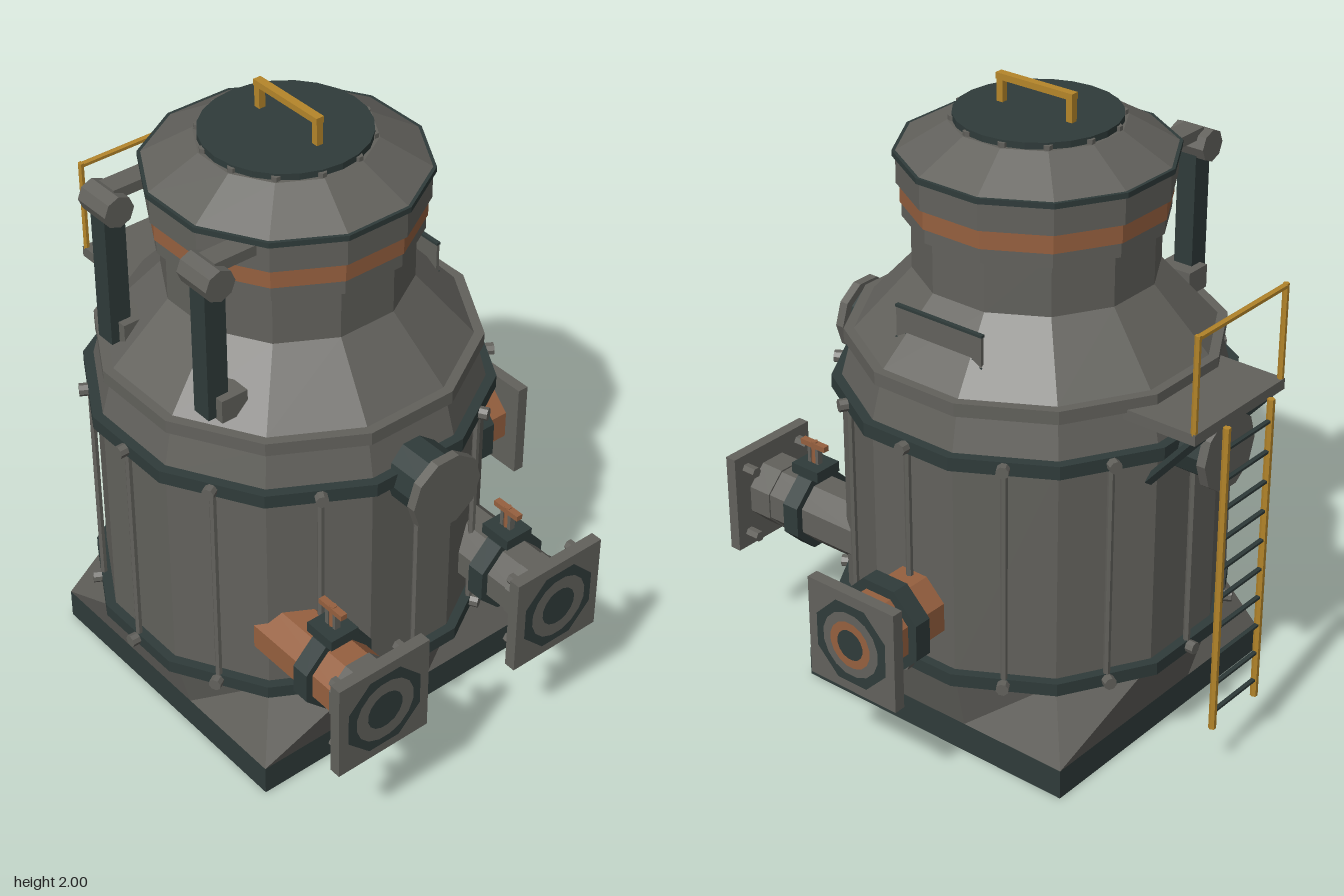
import * as THREE from 'three';

const mat = (name, color) => {
  const m = new THREE.MeshStandardMaterial({ color, flatShading: true });
  m.name = name;
  return m;
};

export function createModel() {
  const steel = mat('grey steel', 0x62615c);
  const dark = mat('dark iron', 0x2f3b3a);
  const copper = mat('copper', 0x96603f);
  const brass = mat('yellow brass', 0xb5862a);

  const model = new THREE.Group();
  model.name = 'pressureVessel';
  // The vessel axis is off centre; the vessel group is built around its own axis.
  const vessel = new THREE.Group();
  vessel.name = 'vessel';
  vessel.position.set(-0.03, 0, 0.11);
  model.add(vessel);

  const add = (parent, name, geo, m, x = 0, y = 0, z = 0) => {
    const mesh = new THREE.Mesh(geo, m);
    mesh.name = name;
    mesh.position.set(x, y, z);
    parent.add(mesh);
    return mesh;
  };
  const box = (parent, name, m, w, h, d, x, y, z) =>
    add(parent, name, new THREE.BoxGeometry(w, h, d), m, x, y, z);
  // Rod between two points
  const rod = (parent, name, m, a, b, r, sides = 6) => {
    const p = new THREE.Vector3(...a), q = new THREE.Vector3(...b);
    const mesh = add(parent, name, new THREE.CylinderGeometry(r, r, p.distanceTo(q), sides), m);
    mesh.position.copy(p).add(q).multiplyScalar(0.5);
    mesh.quaternion.setFromUnitVectors(new THREE.Vector3(0, 1, 0), q.sub(p).normalize());
    return mesh;
  };
  // Twelve-sided section with flats facing the axes; radii are to the flats
  const C = Math.cos(Math.PI / 12);
  const section = (name, m, y0, y1, r0, r1 = r0) =>
    add(vessel, name, new THREE.CylinderGeometry(r1 / C, r0 / C, y1 - y0, 12, 1, false, Math.PI / 12),
      m, 0, (y0 + y1) / 2, 0);

  // Base slab and square-to-round skirt
  box(vessel, 'baseSlab', dark, 1.02, 0.1, 1.02, 0, 0.05, 0);
  const skirt = new THREE.CylinderGeometry(0.57 / C, 0.57 / C, 0.22, 12, 1, true, Math.PI / 12);
  const pos = skirt.attributes.position;
  for (let i = 0; i < pos.count; i++) {
    if (pos.getY(i) > 0) continue;
    const x = pos.getX(i), z = pos.getZ(i);
    const k = 0.51 / Math.max(Math.abs(x), Math.abs(z));
    pos.setX(i, x * k);
    pos.setZ(i, z * k);
  }
  skirt.computeVertexNormals();
  add(vessel, 'skirt', skirt, steel, 0, 0.21, 0);

  // Stacked vessel sections
  section('body', steel, 0.32, 1.06, 0.57);
  section('lowerBand', dark, 0.3, 0.342, 0.6);
  section('upperBand', dark, 1.04, 1.083, 0.6);
  section('bodyTaper', steel, 1.06, 1.2, 0.575, 0.54);
  section('shoulderRim', steel, 1.195, 1.237, 0.56);
  section('shoulder', steel, 1.237, 1.43, 0.53, 0.36);
  section('neck', steel, 1.43, 1.62, 0.36);
  section('neckFlange', steel, 1.595, 1.64, 0.385);
  section('copperGasket', copper, 1.64, 1.7, 0.39);
  section('headRing', steel, 1.7, 1.785, 0.4);
  section('headRim', dark, 1.785, 1.802, 0.41);
  section('dome', steel, 1.802, 1.89, 0.4, 0.255);

  // Tie rods with a bolt head on each band
  for (let i = 0; i < 12; i++) {
    const a = i * Math.PI / 6, s = Math.sin(a), c = Math.cos(a);
    rod(vessel, 'tieRod', steel, [s * 0.592, 0.32, c * 0.592], [s * 0.592, 1.06, c * 0.592], 0.011);
    for (const y of [0.322, 1.062]) {
      rod(vessel, 'bandBolt', steel, [s * 0.58, y, c * 0.58], [s * 0.627, y, c * 0.627], 0.02, 8);
    }
  }

  // Lid, lid bolts and handle
  add(vessel, 'lid', new THREE.CylinderGeometry(0.25, 0.25, 0.024, 24), dark, 0, 1.898, 0);
  for (let i = 0; i < 12; i++) {
    const a = (i + 0.5) * Math.PI / 6;
    add(vessel, 'lidBolt', new THREE.CylinderGeometry(0.014, 0.014, 0.03, 6), steel,
      Math.sin(a) * 0.247, 1.889, Math.cos(a) * 0.247);
  }
  for (const s of [-1, 1]) box(vessel, 'handlePost', brass, 0.022, 0.09, 0.022, s * 0.128, 1.945, -0.01);
  box(vessel, 'handleBar', brass, 0.28, 0.02, 0.026, 0, 1.988, -0.01);

  // Pair of clamp arms on the front
  for (const s of [-1, 1]) {
    const x = s * 0.23;
    box(vessel, 'clampPost', dark, 0.066, 0.45, 0.07, x, 1.495, 0.457);
    rod(vessel, 'clampPivot', steel, [x - 0.065, 1.73, 0.46], [x + 0.065, 1.73, 0.46], 0.05, 8);
    box(vessel, 'clampFinger', steel, 0.07, 0.033, 0.14, x, 1.768, 0.385);
    box(vessel, 'clampFoot', steel, 0.12, 0.075, 0.09, x, 1.302, 0.42);
  }

  // Name plate on the back of the shoulder
  box(vessel, 'namePlate', steel, 0.32, 0.1, 0.01, 0, 1.355, -0.444);
  for (const y of [1.304, 1.406]) box(vessel, 'namePlateEdge', dark, 0.325, 0.008, 0.014, 0, y, -0.444);
  for (const s of [-1, 1]) box(vessel, 'namePlateBracket', dark, 0.015, 0.012, 0.06, s * 0.12, 1.32, -0.42);

  // Round side ports on both flanks
  for (const s of [-1, 1]) {
    rod(vessel, 'portNeck', dark, [s * 0.54, 1.04, 0], [s * 0.69, 1.04, 0], 0.1, 10);
    rod(vessel, 'portCover', steel, [s * 0.685, 1.04, 0], [s * 0.715, 1.04, 0], 0.125, 10);
  }

  // Pipe nozzle running along local +x from the vessel axis
  const nozzle = (name, pipeMat, pipeR, clampX, clampR, valve) => {
    const g = new THREE.Group();
    g.name = name;
    vessel.add(g);
    const tube = (n, m, x0, x1, r) => rod(g, n, m, [x0, 0, 0], [x1, 0, 0], r / Math.cos(Math.PI / 8), 8)
      .rotateY(Math.PI / 8);
    tube('pipe', pipeMat, 0.36, 0.815, pipeR);
    tube('pipeClamp', dark, clampX - 0.03, clampX + 0.03, clampR);
    box(g, 'flange', steel, 0.038, 0.334, 0.334, 0.831, 0, 0);
    const face = (n, m, r0, r1, x, sides) => {
      const geo = new THREE.RingGeometry(r0, r1, sides, 1, Math.PI / sides);
      geo.rotateY(Math.PI / 2);
      add(g, n, geo, m, x, 0, 0);
    };
    face('flangeSeal', dark, 0, 0.145, 0.8525, 8);
    if (valve) {
      face('flangeRing', steel, 0.065, 0.108, 0.855, 16);
      tube('collar', steel, 0.73, 0.812, 0.105);
      box(g, 'valveBonnet', dark, 0.11, 0.035, 0.1, clampX, 0.142, 0);
      for (const s of [-1, 1]) box(g, 'valveStem', steel, 0.012, 0.07, 0.02, clampX + s * 0.016, 0.185, 0);
      box(g, 'valveHandle', copper, 0.1, 0.018, 0.022, clampX, 0.223, 0);
      rod(g, 'valveSpindle', copper, [clampX, 0.16, 0], [clampX, 0.235, 0], 0.012);
    } else {
      face('flangeRing', steel, 0.075, 0.108, 0.855, 16);
      face('copperRing', copper, 0.05, 0.078, 0.857, 16);
    }
    // Flange bolts behind the plate
    if (valve) for (const y of [-1, 1]) for (const z of [-1, 1]) {
      rod(g, 'flangeBolt', steel, [0.765, y * 0.118, z * 0.118], [0.82, y * 0.118, z * 0.118], 0.018);
    }
    return g;
  };
  nozzle('frontNozzle', copper, 0.1, 0.62, 0.122, true).position.set(0, 0.51, 0.34);
  nozzle('rearSideNozzle', steel, 0.1, 0.62, 0.122, true).position.set(0, 0.51, -0.34);
  const back = nozzle('backNozzle', copper, 0.114, 0.7, 0.145, false);
  back.position.set(0, 0.51, 0);
  back.rotation.y = Math.PI / 2;

  // Platform with struts and guard rail
  box(vessel, 'platform', steel, 0.25, 0.035, 0.445, -0.625, 1.187, -0.008);
  for (const z of [-0.17, 0.16]) {
    rod(vessel, 'platformStrut', dark, [-0.735, 1.175, z], [-0.55, 0.96, z], 0.016, 4);
  }
  for (const z of [-0.222, 0.206]) {
    rod(vessel, 'railPost', brass, [-0.74, 1.2, z], [-0.74, 1.51, z], 0.01);
  }
  rod(vessel, 'railTop', brass, [-0.74, 1.502, -0.222], [-0.74, 1.502, 0.206], 0.01);

  // Ladder
  for (const z of [-0.113, 0.107]) {
    rod(vessel, 'ladderRail', brass, [-0.776, 0.16, z], [-0.776, 1.19, z], 0.012);
  }
  for (let i = 0; i < 10; i++) {
    const y = 0.22 + i * 0.1;
    rod(vessel, 'ladderRung', dark, [-0.776, y, -0.113], [-0.776, y, 0.107], 0.008);
  }
  return model;
}
